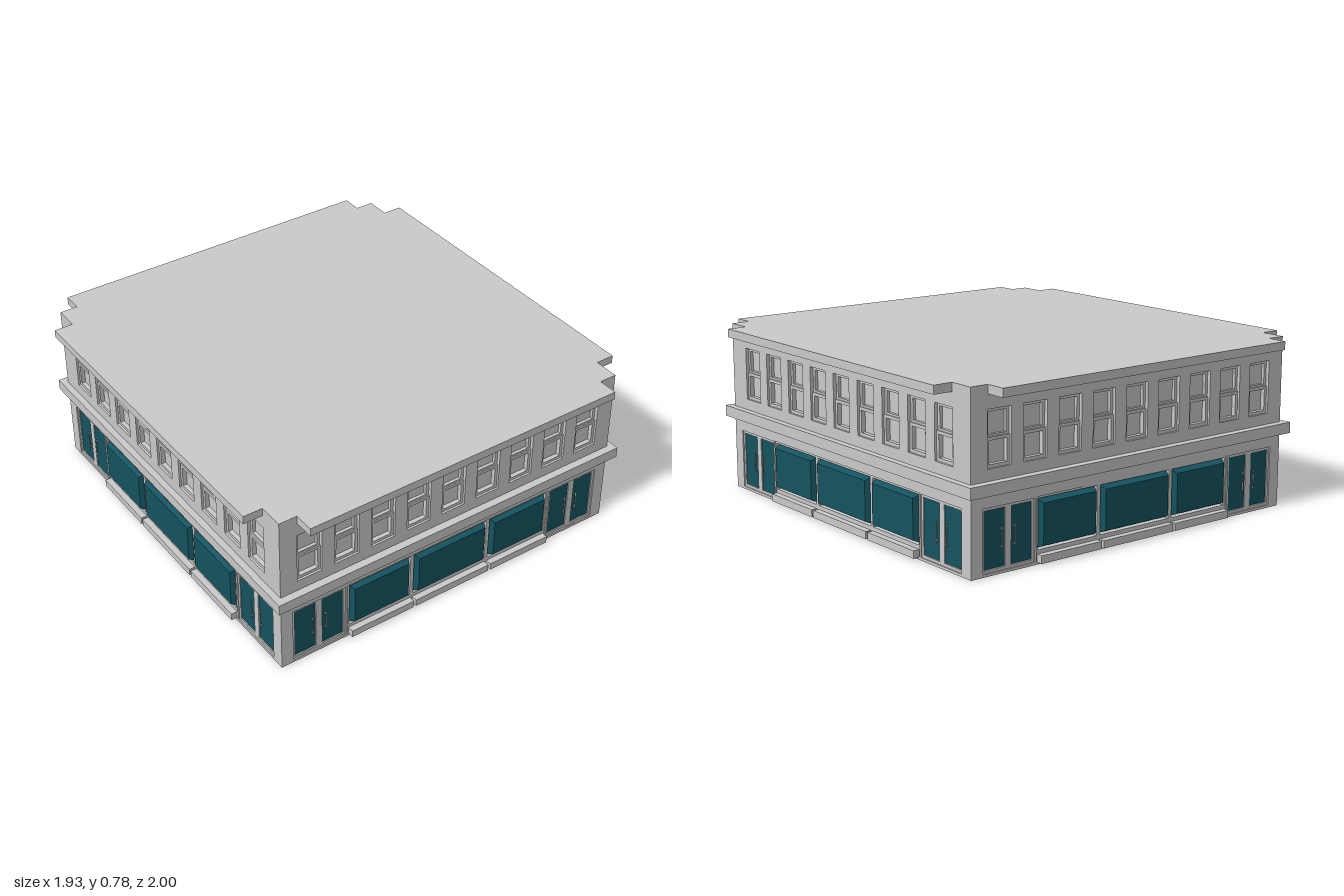
import * as THREE from 'three';

const GREY = new THREE.MeshStandardMaterial({ color: 0xcccccc, flatShading: true });
const TEAL = new THREE.MeshStandardMaterial({ color: 0x155461, flatShading: true });

const HX = 0.875, HZ = 0.907, HEIGHT = 0.78; // half width, half depth, height
const WALL = 0.03; // wall thickness, and depth of the openings

// Box given by its two opposite corners
function block(parent, name, x0, x1, y0, y1, z0, z1, material = GREY) {
  const mesh = new THREE.Mesh(new THREE.BoxGeometry(x1 - x0, y1 - y0, z1 - z0), material);
  mesh.position.set((x0 + x1) / 2, (y0 + y1) / 2, (z0 + z1) / 2);
  mesh.name = name;
  parent.add(mesh);
  return mesh;
}

// Rectangular ring of four bars
function ring(parent, name, x0, x1, y0, y1, t, z0, z1, material = GREY) {
  block(parent, name, x0, x0 + t, y0, y1, z0, z1, material);
  block(parent, name, x1 - t, x1, y0, y1, z0, z1, material);
  block(parent, name, x0 + t, x1 - t, y0, y0 + t, z0, z1, material);
  block(parent, name, x0 + t, x1 - t, y1 - t, y1, z0, z1, material);
}

function rectPath(path, x0, x1, y0, y1) {
  return path.setFromPoints([[x0, y0], [x1, y0], [x1, y1], [x0, y1]].map(p => new THREE.Vector2(...p)));
}

// Shop window: a pane whose front is drawn in to leave a bevel all round
function displayPane(parent, x0, x1, y0, y1, z0, z1, bevel) {
  const pane = block(parent, 'displayWindow', x0, x1, y0, y1, z0, z1, TEAL);
  const p = pane.geometry.attributes.position;
  for (let i = 0; i < p.count; i++) {
    if (p.getZ(i) > 0) {
      p.setX(i, p.getX(i) - Math.sign(p.getX(i)) * bevel);
      p.setY(i, p.getY(i) - Math.sign(p.getY(i)) * bevel);
    }
  }
  pane.geometry.computeVertexNormals();
}

// Two-part sash window set into an upper opening
function sashWindow(parent, cx) {
  const g = new THREE.Group();
  g.name = 'sashWindow';
  ring(g, 'upperSash', cx - 0.06, cx + 0.06, 0.56, 0.68, 0.014, -WALL, -0.016);
  ring(g, 'lowerSash', cx - 0.06, cx + 0.06, 0.44, 0.565, 0.014, -WALL, -0.01);
  parent.add(g);
}

// Pair of glazed doors with frame and pull handles
function doorPair(parent, cx, s) {
  const g = new THREE.Group();
  g.name = 'doorPair';
  const w = 0.133 * s;
  ring(g, 'doorFrame', cx - w, cx + w, 0.012, 0.282, 0.012, -WALL, -0.006);
  block(g, 'doorPost', cx - 0.016 * s, cx + 0.016 * s, 0.024, 0.27, -WALL, -0.006);
  for (const side of [-1, 1]) {
    const c = cx + side * 0.068 * s, h = 0.053 * s;
    block(g, 'door', c - h, c + h, 0.026, 0.268, -WALL, -0.01, TEAL);
    const hx = cx + side * 0.033 * s;
    block(g, 'doorHandle', hx - 0.002, hx + 0.002, 0.1, 0.195, -0.004, 0);
    for (const y of [0.11, 0.185]) block(g, 'handleMount', hx - 0.002, hx + 0.002, y - 0.002, y + 0.002, -0.01, -0.004);
  }
  parent.add(g);
}

// One facade; its outer face lies at z = 0. Shop parts stretch by s.
function facade(name, half, s) {
  const g = new THREE.Group();
  g.name = name;
  const windows = [];
  for (let i = -4; i <= 4; i++) windows.push(i * 0.183);

  // Wall with openings
  const shape = rectPath(new THREE.Shape(), -half, half, 0, HEIGHT - 0.002);
  const hole = (...r) => shape.holes.push(rectPath(new THREE.Path(), ...r));
  for (const x of windows) hole(x - 0.06, x + 0.06, 0.44, 0.68);
  hole(-0.541 * s, 0.541 * s, 0.012, 0.285);
  for (const side of [-1, 1]) {
    const c = side * 0.684 * s, w = 0.133 * s;
    hole(c - w, c + w, 0.012, 0.282);
  }
  const wall = new THREE.Mesh(new THREE.ExtrudeGeometry(shape, { depth: WALL, bevelEnabled: false }), GREY);
  wall.position.z = -WALL;
  wall.name = 'wall';
  g.add(wall);

  for (const x of windows) sashWindow(g, x);
  for (const side of [-1, 1]) doorPair(g, side * 0.684 * s, s);

  // Shop front: three bays, each with frame, bevelled pane and stone base
  for (const [a, b] of [[-0.541, -0.205], [-0.205, 0.205], [0.205, 0.541]]) {
    const x0 = a * s, x1 = b * s;
    ring(g, 'shopFrame', x0, x1, 0.045, 0.285, 0.009, -WALL, -0.004);
    displayPane(g, x0 + 0.009, x1 - 0.009, 0.06, 0.276, -WALL, 0.012, 0.018);
    block(g, 'stallRiser', x0, x1, 0.012, 0.06, -WALL, -0.004);
    block(g, 'shopBase', x0 + 0.006, x1 - 0.006, 0.008, 0.042, -0.01, 0.025);
  }
  return g;
}

export function createModel() {
  const model = new THREE.Group();
  model.name = 'cornerShopBuilding';

  // Inner core closing the backs of all openings
  block(model, 'core', -HX + WALL, HX - WALL, 0, HEIGHT - 0.002, -HZ + WALL, HZ - WALL);

  // Four facades
  const sides = [
    ['frontFacade', HX, 1, 0, 0, HZ],
    ['backFacade', HX, 1, Math.PI, 0, -HZ],
    ['leftFacade', HZ - WALL, 1.035, Math.PI / 2, HX, 0],
    ['rightFacade', HZ - WALL, 1.035, -Math.PI / 2, -HX, 0],
  ];
  for (const [name, half, s, angle, x, z] of sides) {
    const g = facade(name, half, s);
    g.rotation.y = angle;
    g.position.set(x, 0, z);
    model.add(g);
  }

  // Ledge between the floors
  for (const k of [-1, 1]) {
    const z = k * (HZ + 0.016), x = k * (HX + 0.01);
    block(model, 'ledge', -0.905, 0.905, 0.34, 0.39, z - 0.02, z + 0.02);
    block(model, 'ledge', x - 0.02, x + 0.02, 0.34, 0.39, -HZ, HZ);
  }

  // Flat roof with eaves that stop short of the corners
  block(model, 'roof', -HX, HX, HEIGHT - 0.01, HEIGHT, -HZ, HZ);
  for (const k of [-1, 1]) {
    const z = k * (HZ + 1) / 2, x = k * (HX + 0.965) / 2;
    const dz = (1 - HZ) / 2, dx = (0.965 - HX) / 2;
    block(model, 'eaves', -0.79, 0.79, 0.742, HEIGHT, z - dz, z + dz);
    block(model, 'eaves', x - dx, x + dx, 0.742, HEIGHT, -0.79, 0.79);
  }
  return model;
}
